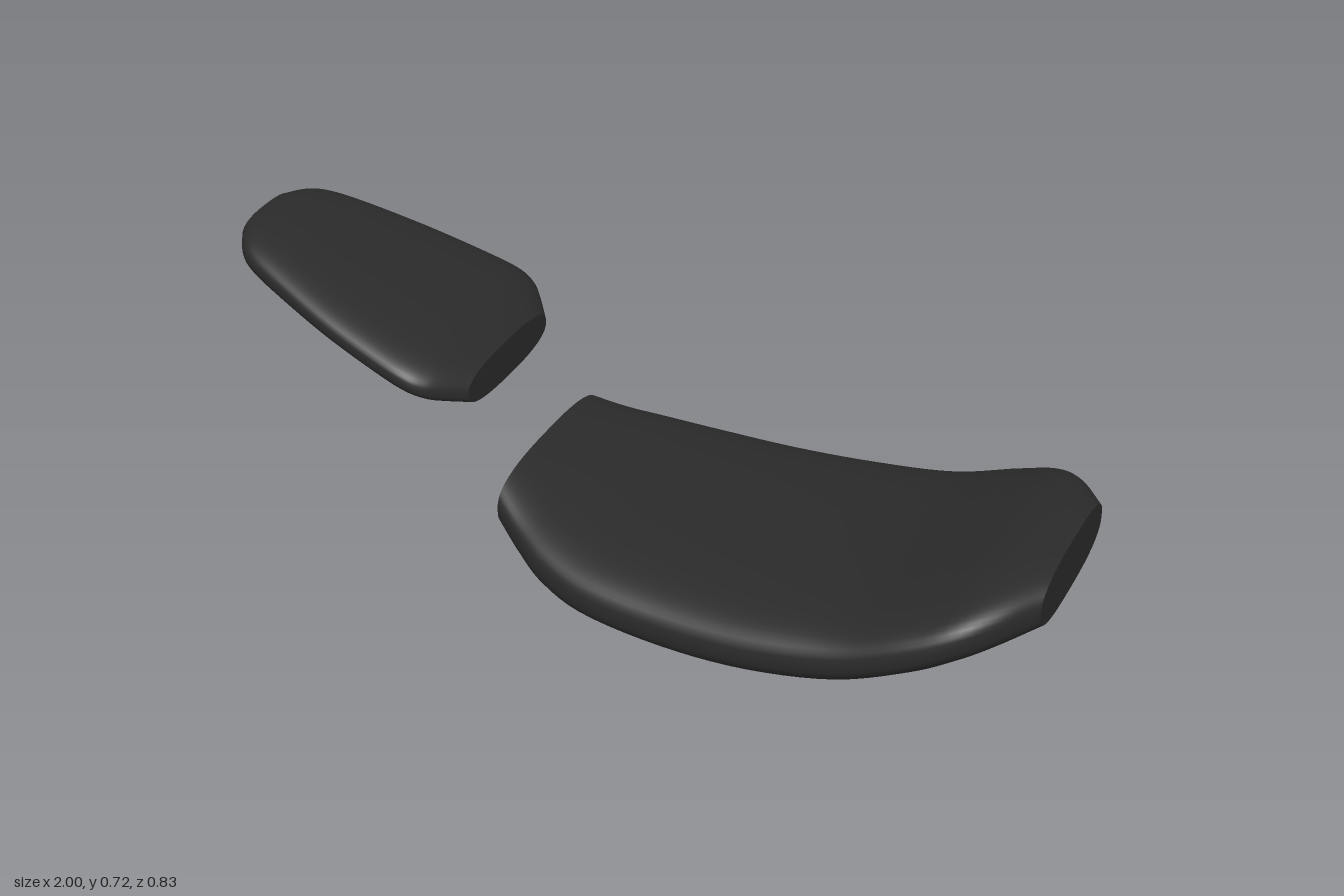
import * as THREE from 'three';

// Loft along x through rows of [x, bottom, top, halfWidth], closed by flat end caps.
function loftPad(rows, power, steps = 48, sides = 64) {
  const curve = (pick) => new THREE.CatmullRomCurve3(rows.map(pick), false, 'catmullrom', 0.5);
  const heights = curve(([x, bottom, top]) => new THREE.Vector3(x, bottom, top));
  const widths = curve(([x, , , w]) => new THREE.Vector3(x, w, 0));
  const round = (v) => Math.sign(v) * Math.abs(v) ** (2 / power);
  const positions = [];
  const index = [];

  const addRing = (t) => {
    const h = heights.getPoint(t);
    const w = widths.getPoint(t).y;
    const mid = (h.y + h.z) / 2;
    const half = (h.z - h.y) / 2;
    for (let j = 0; j < sides; j++) {
      const a = (j / sides) * Math.PI * 2;
      positions.push(h.x, mid + half * round(Math.sin(a)), w * round(Math.cos(a)));
    }
    return [h.x, mid, 0];
  };

  // Smooth skin
  for (let i = 0; i <= steps; i++) addRing(i / steps);
  for (let i = 0; i < steps; i++) {
    for (let j = 0; j < sides; j++) {
      const k = (j + 1) % sides;
      const a = i * sides + j, b = a + sides;
      const c = i * sides + k, d = c + sides;
      index.push(a, b, c, b, d, c);
    }
  }

  // End caps with their own vertices, so the rims stay sharp
  for (const t of [0, 1]) {
    const start = positions.length / 3;
    positions.push(...addRing(t));
    const centre = start + sides;
    for (let j = 0; j < sides; j++) {
      const a = start + j, b = start + (j + 1) % sides;
      if (t === 0) index.push(centre, a, b);
      else index.push(centre, b, a);
    }
  }

  const geometry = new THREE.BufferGeometry();
  geometry.setAttribute('position', new THREE.Float32BufferAttribute(positions, 3));
  geometry.setIndex(index);
  geometry.computeVertexNormals();
  return geometry;
}

export function createModel() {
  const model = new THREE.Group();
  model.name = 'twoPieceSeat';
  const leather = new THREE.MeshStandardMaterial({ color: 0x2a2a2a });
  leather.name = 'blackLeather';

  const addPad = (name, rows, power) => {
    const mesh = new THREE.Mesh(loftPad(rows, power), leather);
    mesh.name = name;
    model.add(mesh);
  };

  // Large dished pad
  addPad('mainSeat', [
    [-0.27, 0.14, 0.29, 0.26],
    [-0.2, 0.095, 0.257, 0.305],
    [-0.12, 0.055, 0.232, 0.35],
    [0, 0.022, 0.211, 0.386],
    [0.2, 0.004, 0.2, 0.406],
    [0.4, 0.01, 0.205, 0.415],
    [0.6, 0.04, 0.231, 0.409],
    [0.76, 0.1, 0.285, 0.397],
    [0.86, 0.148, 0.321, 0.37],
    [0.93, 0.178, 0.332, 0.315],
    [1, 0.2, 0.332, 0.22],
  ], 2.7);

  // Small raised pad, sloping up and tapering
  addPad('rearSeat', [
    [-1, 0.645, 0.724, 0.11],
    [-0.97, 0.632, 0.726, 0.158],
    [-0.93, 0.616, 0.719, 0.19],
    [-0.85, 0.585, 0.695, 0.22],
    [-0.7, 0.53, 0.642, 0.262],
    [-0.55, 0.476, 0.591, 0.288],
    [-0.48, 0.452, 0.566, 0.292],
    [-0.44, 0.438, 0.548, 0.277],
    [-0.41, 0.427, 0.531, 0.247],
    [-0.37, 0.411, 0.505, 0.195],
  ], 2.6);

  return model;
}
